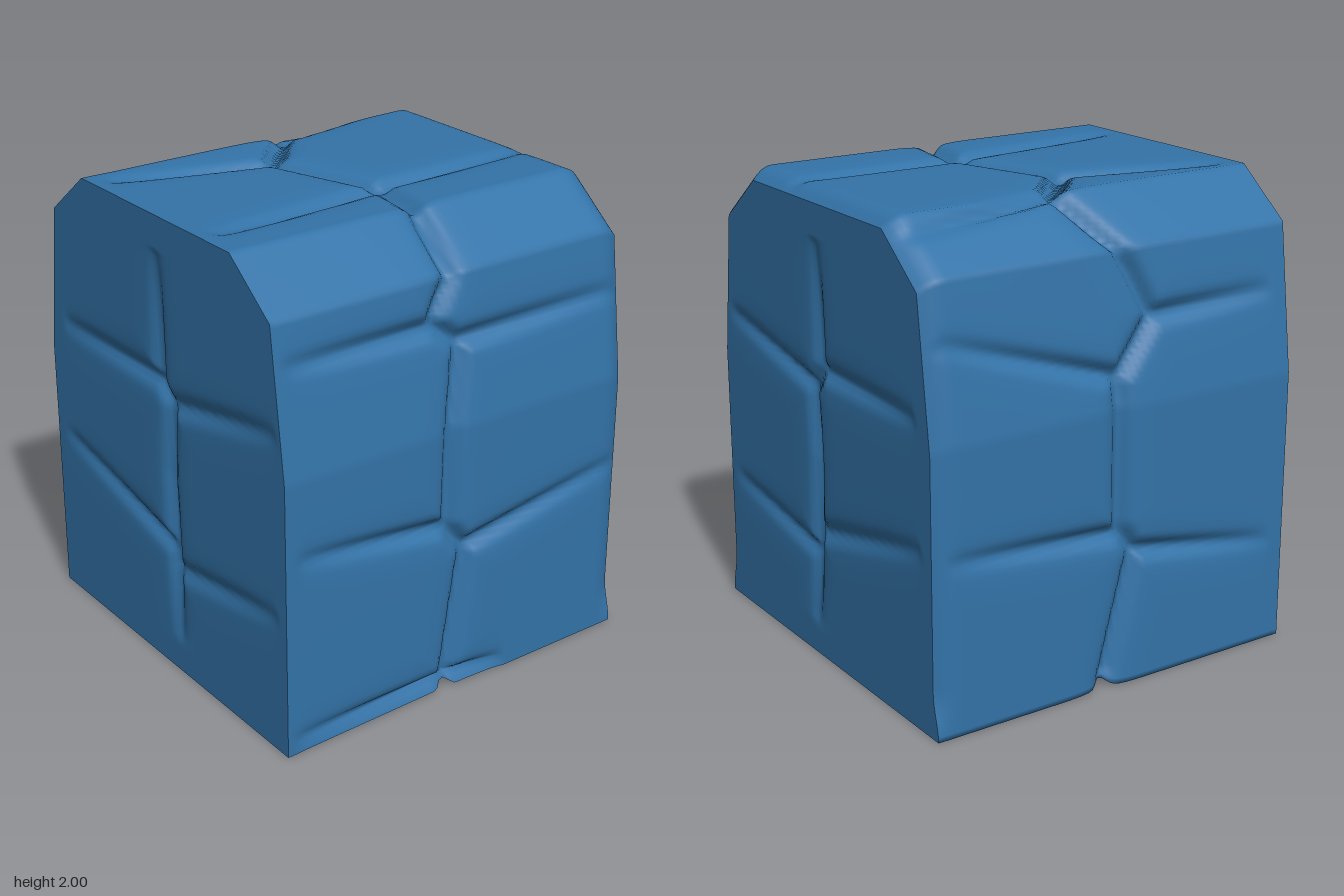
import * as THREE from 'three';

const H = 0.86; // half length along x
const STEP = 0.022;
// Half of the symmetric cross-section, as [half depth, height]
const HALF = [[0.865, 0], [0.86, 1.18], [0.78, 1.8], [0.53, 1.995]];
const { clamp, lerp, smoothstep } = THREE.MathUtils;

const stone = new THREE.MeshStandardMaterial({ color: 0x3373a8 });
stone.name = 'blue stone';

// Half depth of the block at a height
function halfDepth(y) {
  const i = y <= 1.18 ? 0 : y <= 1.8 ? 1 : 2;
  const [z0, y0] = HALF[i], [z1, y1] = HALF[i + 1];
  return lerp(z0, z1, (y - y0) / (y1 - y0));
}
// Height of the upper surface at a depth
const topHeight = z => lerp(1.995, 1.8, clamp((Math.abs(z) - 0.53) / 0.25, 0, 1));

// Each face turns two coordinates into a point on it
const front = (x, y) => new THREE.Vector3(x, y, halfDepth(y));
const back = (x, y) => new THREE.Vector3(x, y, -halfDepth(y));
const top = (x, z) => new THREE.Vector3(x, topHeight(z), z);
const base = (x, z) => new THREE.Vector3(x, 0, z);

// Crack segments hold two points and the relative depth at each
const segment = (a, b, wa, wb) => ({ a, b, wa, wb });
const branch = (face, x0, y0, x1, y1, w = 1) => segment(face(x0, y0), face(x1, y1), w, 0);
function chain(points, w) {
  return points.slice(1).map((p, i) => segment(points[i], p, w, w));
}

// Main crack running once round the block
const mainCrack = chain([
  base(0.07, -0.865), base(-0.06, 0.865),
  front(-0.06, 0.05), front(0.03, 0.63), front(-0.06, 0.75), front(-0.05, 1.18),
  front(0.01, 1.52), front(-0.12, 1.62), front(-0.02, 1.8),
  top(0, 0.53), top(0.05, 0.23), top(-0.11, -0.27), top(0.11, -0.52), top(-0.04, -0.78),
  back(-0.18, 1.52), back(0, 1.3), back(-0.01, 0.68), back(-0.08, 0.57), back(0.07, 0),
], 1);

// Side cracks that fade out towards the ends
const frontBranches = [
  branch(front, -0.06, 0.05, -0.82, 0.06),
  branch(front, -0.06, 0.05, 0.24, 0.04),
  branch(front, 0.03, 0.64, 0.85, 0.79),
  branch(front, -0.06, 0.76, -0.8, 0.85),
  branch(front, 0.01, 1.53, 0.85, 1.55),
  branch(front, -0.12, 1.61, -0.82, 1.62),
];
const topBranches = [
  branch(top, 0.05, 0.23, 0.84, 0.22),
  branch(top, 0.04, 0.25, -0.8, 0.33),
  branch(top, -0.11, -0.27, -0.8, -0.45),
  branch(top, 0.11, -0.52, 0.83, -0.61),
];
const backBranches = [
  branch(back, -0.02, 0.66, 0.8, 0.72),
  branch(back, -0.08, 0.57, -0.78, 0.46),
  branch(back, 0, 1.31, 0.82, 1.57),
  branch(back, -0.18, 1.52, -0.78, 1.54),
];
const wrapCracks = [...mainCrack, ...frontBranches, ...topBranches, ...backBranches];

// Shallower cracks on an end face
function endCracks(side) {
  const face = (z, y) => new THREE.Vector3(side * H, y, z);
  return [
    ...chain([face(0, 1.3), face(0.07, 1.21), face(0.05, 0.9), face(0.07, 0.48)], 0.6),
    branch(face, 0, 1.3, 0.01, 1.85, 0.5),
    branch(face, 0.07, 0.48, 0.09, 0.15, 0.5),
    branch(face, 0.07, 1.22, 0.8, 1.37, 0.6),
    branch(face, 0, 1.3, -0.75, 1.3, 0.6),
    branch(face, 0.07, 0.48, 0.8, 0.6, 0.45),
    branch(face, 0.03, 0.58, -0.78, 0.77, 0.55),
  ];
}

// Depth carved at a point: narrow crack plus a soft shoulder
const ab = new THREE.Vector3(), ap = new THREE.Vector3();
function carve(p, cracks) {
  let depth = 0;
  for (const { a, b, wa, wb } of cracks) {
    ab.subVectors(b, a);
    ap.subVectors(p, a);
    const t = clamp(ap.dot(ab) / ab.lengthSq(), 0, 1);
    const r2 = ap.addScaledVector(ab, -t).lengthSq();
    const w = Math.sqrt(lerp(wa, wb, t));
    depth = Math.max(depth, w * (0.045 * Math.exp(-r2 / 0.0011) + 0.01 * Math.exp(-r2 / 0.008)));
  }
  return depth;
}

// Rounds the left end inwards by amount k, leaving its foot flared
function tuck(p, k) {
  p.z *= 1 - 0.04 * k * smoothstep(p.y, 0, 0.2);
  p.y *= 1 - 0.025 * k;
  return p;
}

// Surface from a grid of points, i along the first direction and j along the second
function surface(name, nu, nv, pointAt) {
  const pos = [], index = [];
  for (let j = 0; j <= nv; j++) {
    for (let i = 0; i <= nu; i++) pos.push(...pointAt(i, j).toArray());
  }
  for (let j = 0; j < nv; j++) {
    for (let i = 0; i < nu; i++) {
      const a = j * (nu + 1) + i, c = a + nu + 1;
      index.push(a, a + 1, c, a + 1, c + 1, c);
    }
  }
  const geo = new THREE.BufferGeometry();
  geo.setAttribute('position', new THREE.Float32BufferAttribute(pos, 3));
  geo.setIndex(index);
  geo.computeVertexNormals();
  const mesh = new THREE.Mesh(geo, stone);
  mesh.name = name;
  return mesh;
}

// Closed outline rows with outward normals, blended near the corners
function outlineRows() {
  const pts = [...HALF, ...[...HALF].reverse().map(([z, y]) => [-z, y])]
    .map(([z, y]) => new THREE.Vector3(0, y, z));
  const n = pts.length;
  const normals = pts.map((p, i) => {
    const d = pts[(i + 1) % n].clone().sub(p).normalize();
    return new THREE.Vector3(0, -d.z, d.y);
  });
  const rows = [];
  for (let e = 0; e < n; e++) {
    const a = pts[e], b = pts[(e + 1) % n], len = a.distanceTo(b);
    const count = Math.ceil(len / STEP);
    for (let k = 0; k < count + (e === n - 1 ? 1 : 0); k++) {
      const t = k / count;
      const normal = normals[e].clone()
        .addScaledVector(normals[(e + n - 1) % n], Math.max(0, 1 - t * len / 0.08))
        .addScaledVector(normals[(e + 1) % n], Math.max(0, 1 - (1 - t) * len / 0.08))
        .normalize();
      rows.push({ p: a.clone().lerp(b, t), normal });
    }
  }
  return rows;
}

export function createModel() {
  const group = new THREE.Group();
  group.name = 'crackedStoneBlock';

  // Front, top, back and underside in one wrapped skin
  const rows = outlineRows();
  const nx = Math.ceil(2 * H / STEP);
  group.add(surface('stoneBody', nx, rows.length - 1, (i, j) => {
    const p = rows[j].p.clone();
    p.x = -H + 2 * H * i / nx;
    p.addScaledVector(rows[j].normal, -carve(p, wrapCracks));
    return tuck(p, clamp((p.x - 0.76) / 0.1, 0, 1) ** 2);
  }));

  // Two end faces with mirrored cracks, sharing the body's front row heights
  const heights = rows.map(r => r.p).filter(p => p.z >= HALF[3][0] && p.y > 0).map(p => p.y);
  const levels = [0, ...heights];
  const nz = 76;
  for (const side of [1, -1]) {
    const cracks = endCracks(side);
    group.add(surface(side > 0 ? 'leftEnd' : 'rightEnd', nz, levels.length - 1, (i, j) => {
      const y = levels[j];
      const p = new THREE.Vector3(side * H, y, side * halfDepth(y) * (1 - 2 * i / nz));
      const rim = i === 0 || i === nz || j === 0 || j === levels.length - 1;
      if (!rim) p.x -= side * carve(p, cracks);
      return tuck(p, side > 0 ? 1 : 0);
    }));
  }
  return group;
}
